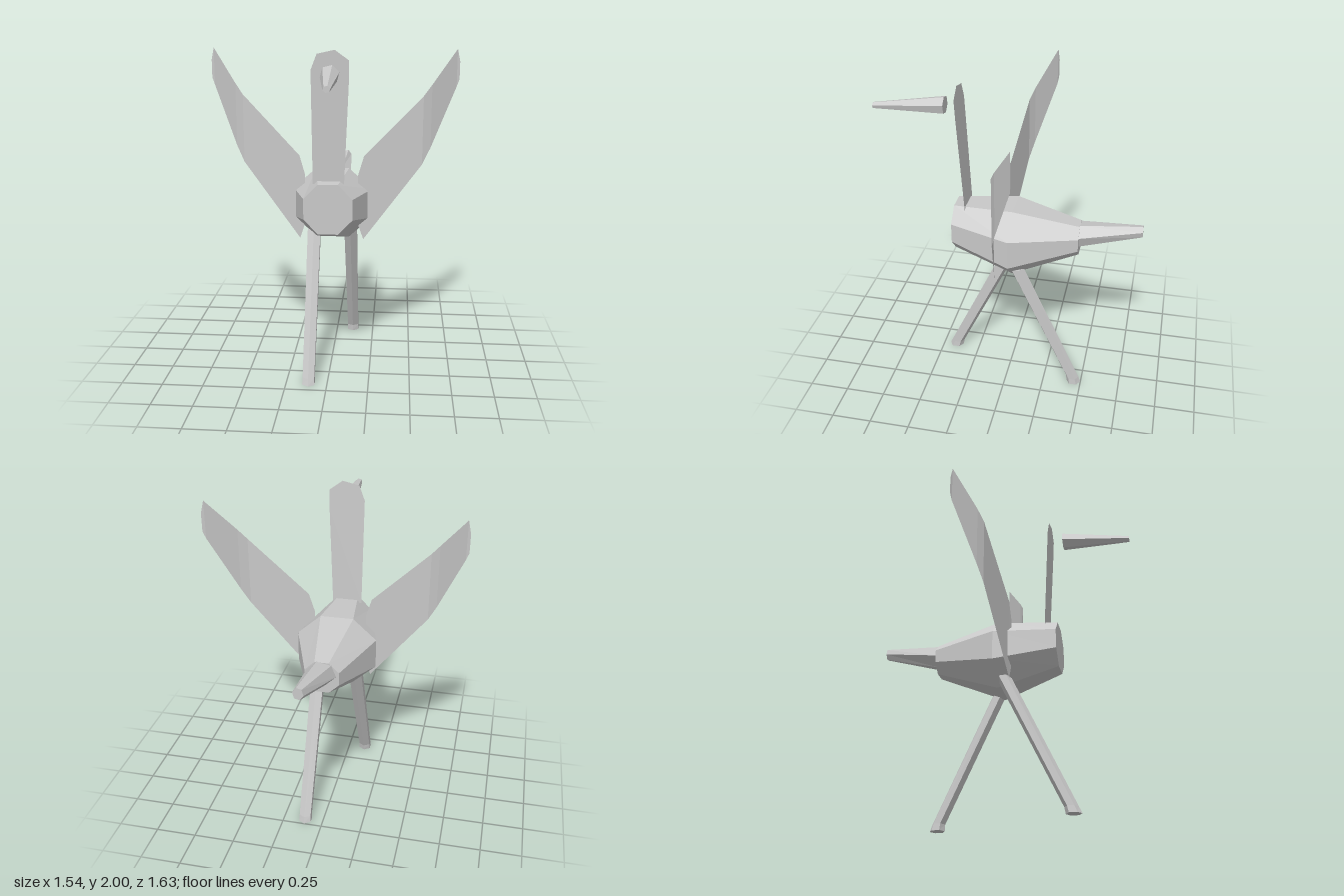
import * as THREE from 'three';

const paper = new THREE.MeshStandardMaterial({ color: 0xc8c8c8, flatShading: true, side: THREE.DoubleSide });
paper.name = 'paperGrey';

function facetedMesh(name, positions, index) {
  const indexed = new THREE.BufferGeometry();
  indexed.setAttribute('position', new THREE.Float32BufferAttribute(positions, 3));
  indexed.setIndex(index);
  const geometry = indexed.toNonIndexed();
  geometry.computeVertexNormals();
  const mesh = new THREE.Mesh(geometry, paper);
  mesh.name = name;
  return mesh;
}

// Capped solid through polygon rings { c: centre, ru, rv }, listed along +axis
function loft(name, sides, turn, axis, rings) {
  const positions = [], index = [];
  for (const { c, ru, rv } of rings) {
    for (let i = 0; i < sides; i++) {
      const a = turn + (i / sides) * Math.PI * 2;
      const u = ru * Math.cos(a), v = rv * Math.sin(a);
      if (axis === 'z') positions.push(c[0] + u, c[1] + v, c[2]);
      else positions.push(c[0] + v, c[1], c[2] + u);
    }
  }
  const last = (rings.length - 1) * sides;
  for (let r = 0; r < last; r += sides) {
    for (let i = 0; i < sides; i++) {
      const j = (i + 1) % sides;
      index.push(r + i, r + j, r + sides + j, r + i, r + sides + j, r + sides + i);
    }
  }
  for (let i = 1; i < sides - 1; i++) {
    index.push(0, i + 1, i, last, last + i, last + i + 1);
  }
  return facetedMesh(name, positions, index);
}

// Folded sheet wing: stations of [x, z, top y, bottom y] from root to tip
function wing(name, side) {
  const stations = [
    [0.163, 0.07, 1.23, 0.92],
    [0.197, 0.063, 1.345, 0.82],
    [0.55, -0.008, 1.705, 1.285],
    [0.6, -0.037, 1.77, 1.385],
    [0.752, -0.153, 1.975, 1.745],
    [0.769, -0.16, 1.9, 1.79],
  ];
  const positions = [], index = [];
  stations.forEach(([x, z, top, bottom], i) => {
    positions.push(side * x, top, z, side * x, bottom, z);
    if (i === 0) return;
    const a = 2 * (i - 1);
    if (side > 0) index.push(a, a + 1, a + 3, a, a + 3, a + 2);
    else index.push(a, a + 3, a + 1, a, a + 2, a + 3);
  });
  return facetedMesh(name, positions, index);
}

// Slanted six-sided leg with a small flared foot
function leg(name, x, footZ, ankleZ, hipZ) {
  return loft(name, 6, 0, 'y', [
    { c: [x, 0, footZ], ru: 0.047, rv: 0.043 },
    { c: [x, 0.04, ankleZ], ru: 0.041, rv: 0.041 },
    { c: [x, 0.865, hipZ], ru: 0.045, rv: 0.046 },
  ]);
}

export function createModel() {
  const bird = new THREE.Group();
  bird.name = 'foldedBird';

  // Octagonal body, tail end to chest
  const k = 1 / Math.cos(Math.PI / 8);
  bird.add(loft('body', 8, Math.PI / 8, 'z', [
    { c: [0, 1.063, -0.435], ru: 0.102 * k, rv: 0.098 * k },
    { c: [0, 1.028, -0.03], ru: 0.246 * k, rv: 0.222 * k },
    { c: [0, 1.08, 0.342], ru: 0.144 * k, rv: 0.15 * k },
  ]));

  // Tail
  bird.add(loft('tail', 6, 0.2, 'z', [
    { c: [0.04, 1.177, -0.812], ru: 0.032, rv: 0.039 },
    { c: [0.002, 1.09, -0.43], ru: 0.09, rv: 0.077 },
  ]));

  // Beak, set apart from the neck
  bird.add(loft('beak', 6, Math.PI / 12, 'z', [
    { c: [0.015, 1.868, 0.385], ru: 0.057, rv: 0.055 },
    { c: [0.035, 1.838, 0.815], ru: 0.021, rv: 0.019 },
  ]));

  // Flat neck leaning slightly forward
  const outline = [
    [-0.095, 1.215], [0.09, 1.215], [0.117, 1.815], [0.117, 1.94],
    [0.037, 1.998], [-0.065, 1.975], [-0.1, 1.885],
  ].map(([x, y]) => new THREE.Vector2(x, y));
  const neckGeometry = new THREE.ShapeGeometry(new THREE.Shape(outline));
  const p = neckGeometry.attributes.position;
  for (let i = 0; i < p.count; i++) p.setZ(i, 0.267 + (p.getY(i) - 1.215) * 0.05);
  neckGeometry.computeVertexNormals();
  const neck = new THREE.Mesh(neckGeometry, paper);
  neck.name = 'neck';
  bird.add(neck);

  // Wings and striding legs
  bird.add(wing('leftWing', 1), wing('rightWing', -1));
  bird.add(leg('leftLeg', 0.112, -0.452, -0.444, -0.06));
  bird.add(leg('rightLeg', -0.113, 0.411, 0.398, 0.01));

  return bird;
}
